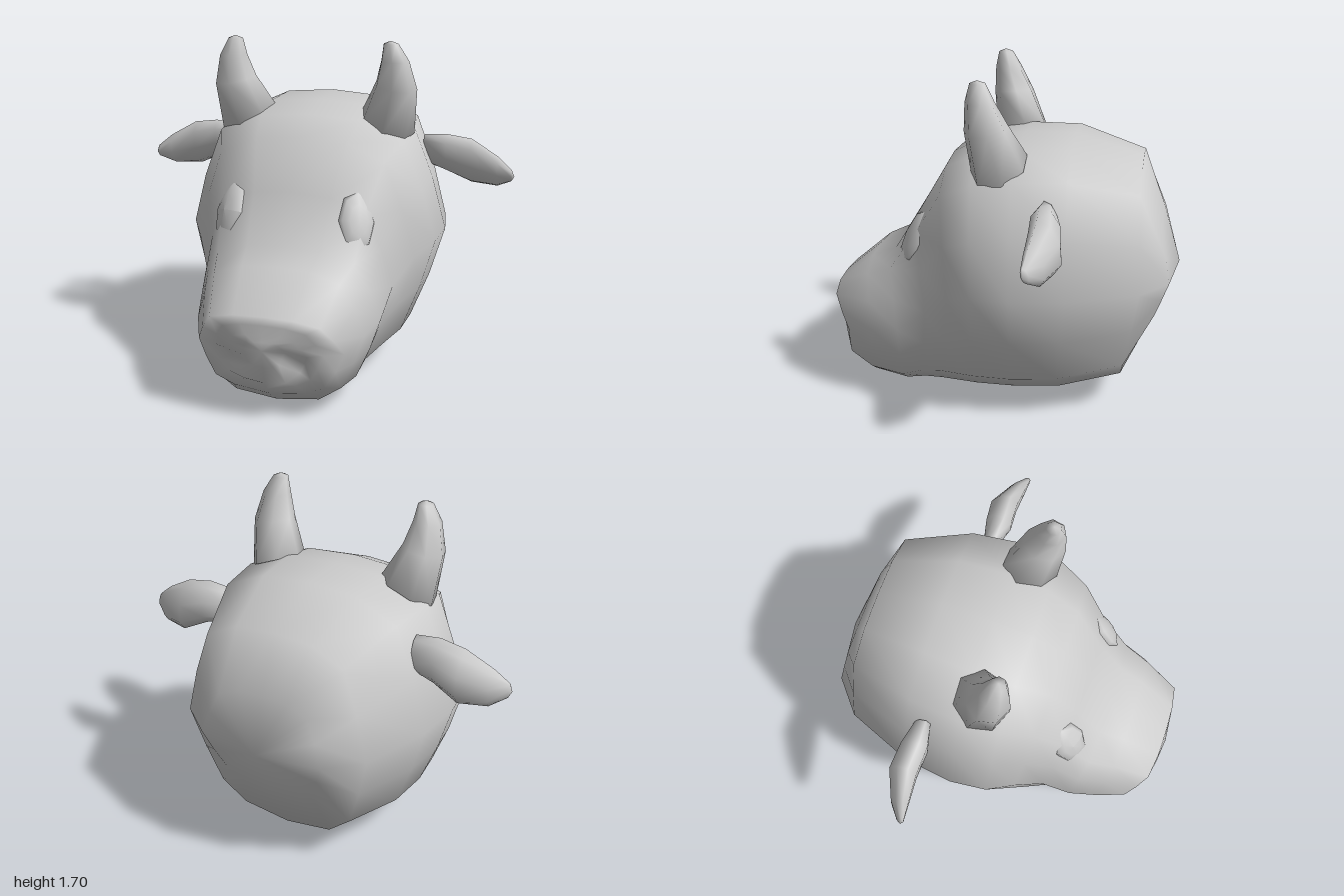
import * as THREE from 'three';

const material = new THREE.MeshStandardMaterial({ color: 0xcccccc });

// Skin a list of equal closed rings (each counter-clockwise seen along the path's end) with end caps
function loft(name, rings, startTip, endTip) {
  const n = rings[0].length, points = [startTip, ...rings.flat(), endTip], index = [];
  const last = points.length - 1, at = (r, i) => 1 + r * n + (i % n);
  for (let i = 0; i < n; i++) {
    index.push(0, at(0, i + 1), at(0, i));
    index.push(last, at(rings.length - 1, i), at(rings.length - 1, i + 1));
    for (let r = 0; r < rings.length - 1; r++) {
      index.push(at(r, i), at(r, i + 1), at(r + 1, i + 1), at(r, i), at(r + 1, i + 1), at(r + 1, i));
    }
  }
  const geometry = new THREE.BufferGeometry().setFromPoints(points);
  geometry.setIndex(index);
  geometry.computeVertexNormals();
  const mesh = new THREE.Mesh(geometry, material);
  mesh.name = name;
  return mesh;
}

const V = (x, y, z) => new THREE.Vector3(x, y, z);

// Half outline of the head's cross-section: width share, height share
const half = [[0, 1], [0.4, 0.97], [0.74, 0.82], [0.89, 0.42], [1, 0],
  [0.89, -0.38], [0.75, -0.74], [0.5, -0.93], [0, -1]];
const outline = [...half, ...half.slice(1, -1).reverse().map(([x, y]) => [-x, y])].reverse();

// Stations from back to nose: top y, z; side x, y, z; bottom y, z
const stations = [
  [0.98, -0.81, 0.32, 0.71, -0.86, 0.42, -0.77],
  [1.26, -0.7, 0.49, 0.71, -0.72, 0.12, -0.63],
  [1.365, -0.36, 0.63, 0.71, -0.38, 0.05, -0.32],
  [1.36, -0.1, 0.67, 0.71, -0.12, 0.04, -0.1],
  [1.32, 0.1, 0.65, 0.7, 0.07, 0.035, 0.1],
  [1.24, 0.27, 0.57, 0.65, 0.2, 0.03, 0.3],
  [1.0, 0.41, 0.49, 0.54, 0.33, 0.015, 0.4],
  [0.77, 0.55, 0.465, 0.42, 0.48, 0.0, 0.5],
  [0.71, 0.68, 0.42, 0.39, 0.63, 0.03, 0.68],
  [0.54, 0.88, 0.36, 0.35, 0.77, 0.12, 0.8],
  [0.5, 0.885, 0.27, 0.35, 0.81, 0.16, 0.835],
  [0.45, 0.89, 0.2, 0.35, 0.845, 0.2, 0.86],
  [0.42, 0.895, 0.1, 0.37, 0.87, 0.29, 0.88],
];

function buildHead() {
  const rings = stations.map(([ty, tz, sx, sy, sz, by, bz]) => outline.map(([px, py]) => {
    const k = Math.abs(py), [ey, ez] = py > 0 ? [ty, tz] : [by, bz];
    const p = V(px * sx, sy + (ey - sy) * k, sz + (ez - sz) * k);
    // Nostril hollows
    const d = ((Math.abs(p.x) - 0.16) / 0.065) ** 2 + ((p.y - 0.24) / 0.12) ** 2;
    if (p.z > 0.7 && d < 1) p.z -= 0.07 * (1 - d);
    return p;
  }));
  return loft('head', rings, V(0, 0.71, -0.905), V(0, 0.38, 0.9));
}

// Horn: round rings [x, y, z, radius] tilted to stand on the skull
function buildHorn() {
  const path = [[0.37, 1.27, -0.03, 0.145, 0.4], [0.42, 1.47, 0.025, 0.112, 0.15],
    [0.418, 1.6, 0.055, 0.075, 0], [0.4, 1.685, 0.068, 0.04, 0]];
  const rings = path.map(([x, y, z, r, tilt]) => Array.from({ length: 7 }, (_, i) => {
    const a = i / 7 * Math.PI * 2, dx = Math.sin(a) * r, dz = Math.cos(a) * r;
    return V(x + dx * 0.95, y - (dx + dz * 0.6) * tilt, z + dz * 0.95);
  }));
  return loft('horn', rings, V(0.37, 1.26, -0.03), V(0.4, 1.7, 0.07));
}

// Ear: flattened oval rings [x, y, z, half height, half thickness], rolled forward
function buildEar() {
  const path = [[0.52, 1.09, -0.29, 0.085, 0.04], [0.64, 1.075, -0.29, 0.11, 0.07],
    [0.77, 1.035, -0.305, 0.132, 0.072], [0.91, 0.995, -0.275, 0.09, 0.045],
    [0.985, 0.985, -0.245, 0.035, 0.018]];
  const roll = 0.3;
  const rings = path.map(([x, y, z, h, t]) => Array.from({ length: 8 }, (_, i) => {
    const a = i / 8 * Math.PI * 2, u = Math.cos(a) * h, v = Math.sin(a) * t;
    return V(x, y + u * Math.cos(roll) - v * Math.sin(roll), z + u * Math.sin(roll) + v * Math.cos(roll));
  }));
  return loft('ear', rings, V(0.52, 1.09, -0.29), V(1, 0.98, -0.24));
}

// Eye: flattened ball lying on the slope of the face
function buildEye() {
  const geometry = new THREE.SphereGeometry(1, 8, 6).rotateX(Math.PI / 2);
  const long = V(-0.1, 0.89, -0.42).normalize();
  const normal = V(0.8, 0, -0.55).cross(long).normalize();
  const wide = long.clone().cross(normal);
  geometry.scale(0.092, 0.158, 0.045);
  geometry.applyMatrix4(new THREE.Matrix4().makeBasis(wide, long, normal).setPosition(0.32, 0.875, 0.405));
  const mesh = new THREE.Mesh(geometry, material);
  mesh.name = 'eye';
  return mesh;
}

// Mirrored copy across x = 0, with the triangles turned round
function mirrored(mesh) {
  const geometry = mesh.geometry.clone().scale(-1, 1, 1);
  const index = geometry.index.array;
  for (let i = 0; i < index.length; i += 3) [index[i], index[i + 1]] = [index[i + 1], index[i]];
  geometry.computeVertexNormals();
  return new THREE.Mesh(geometry, material);
}

export function createModel() {
  const group = new THREE.Group();
  group.name = 'cowHead';
  group.add(buildHead());
  for (const part of [buildHorn(), buildEar(), buildEye()]) {
    const twin = mirrored(part), name = part.name[0].toUpperCase() + part.name.slice(1);
    part.name = 'left' + name;
    twin.name = 'right' + name;
    group.add(part, twin);
  }
  return group;
}
